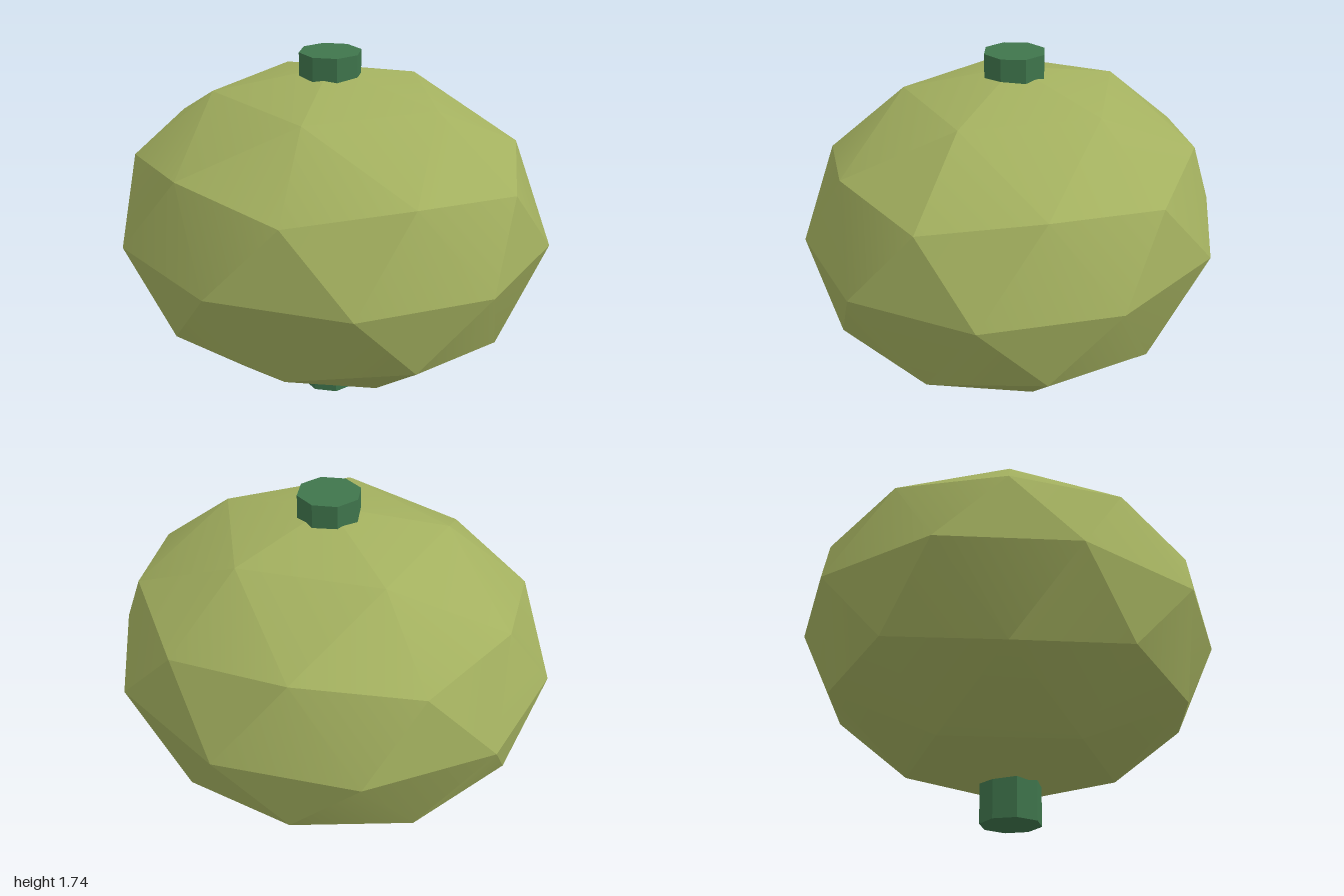
import * as THREE from 'three';
import { toCreasedNormals } from 'three/addons/utils/BufferGeometryUtils.js';

export function createModel() {
  const model = new THREE.Group();
  const bodyGreen = new THREE.MeshStandardMaterial({ name: 'olive green', color: 0xa3b05f });
  const stemGreen = new THREE.MeshStandardMaterial({ name: 'dark green', color: 0x3f754c });

  // Squashed faceted ball, turned so that one corner points straight up
  const ball = new THREE.IcosahedronGeometry(1, 1);
  ball.rotateZ(-Math.atan(2 / (1 + Math.sqrt(5))));
  ball.scale(1.0515, 0.757, 0.967);
  ball.translate(0, 0.906, 0);
  // Flatter areas blend, while the sharper bends stay crisp
  const body = new THREE.Mesh(toCreasedNormals(ball, THREE.MathUtils.degToRad(20)), bodyGreen);
  body.name = 'body';
  model.add(body);

  // Eight-sided stem running through the ball from base to tip
  const height = 1.735;
  const post = new THREE.CylinderGeometry(0.144, 0.144, height, 8);
  post.translate(0, height / 2, 0);
  const stem = new THREE.Mesh(toCreasedNormals(post, THREE.MathUtils.degToRad(30)), stemGreen);
  stem.name = 'stem';
  model.add(stem);

  return model;
}
